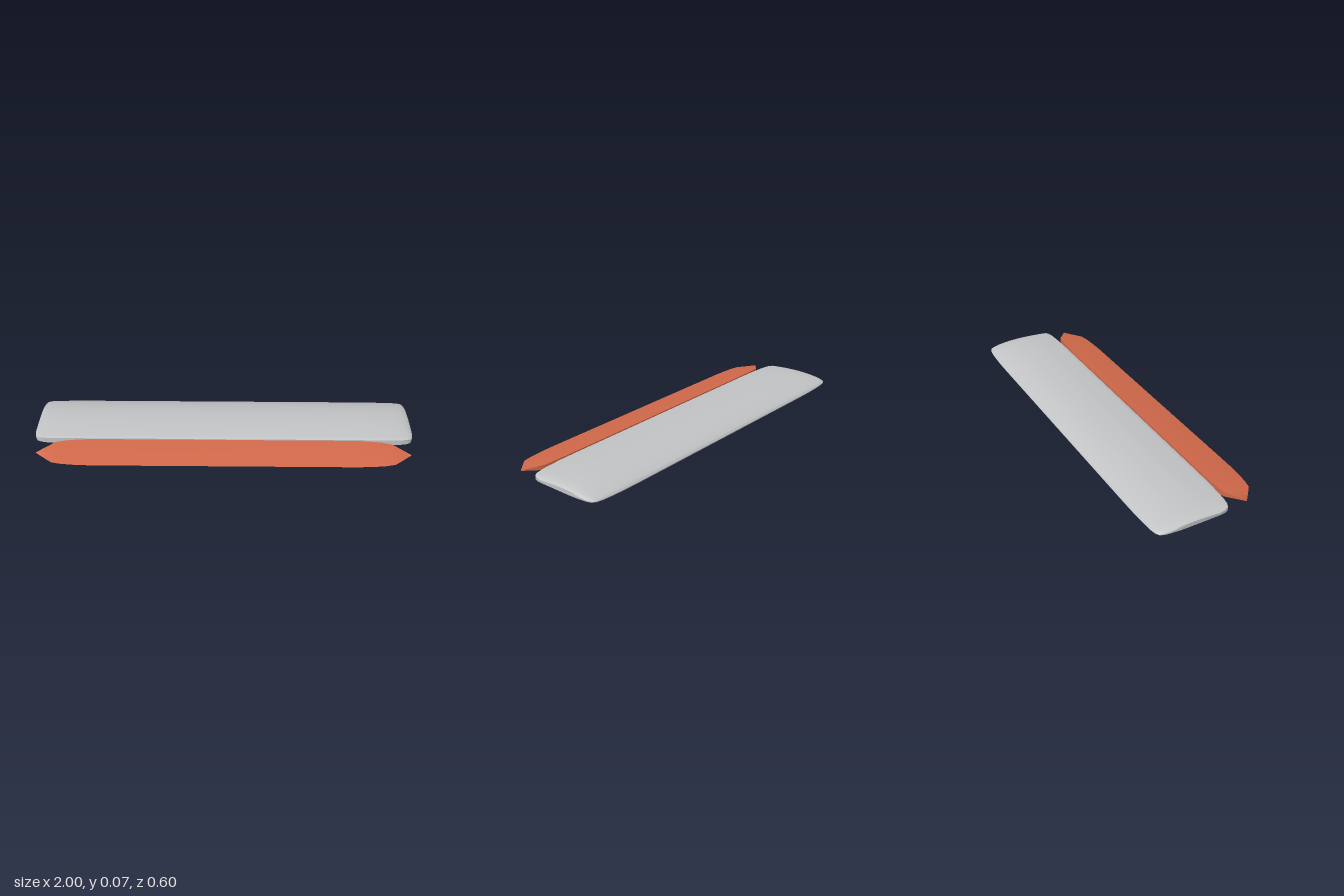
import * as THREE from 'three';
import { toCreasedNormals } from 'three/addons/utils/BufferGeometryUtils.js';

// Smooth open outline through [z, y] points; the loft closes it with the flat spar face
function outline(points, count) {
  const curve = new THREE.CatmullRomCurve3(points.map(([z, y]) => new THREE.Vector3(0, y, z)));
  return curve.getPoints(count).map((p) => [p.z, p.y]);
}

// Sweep a section along x; each station is [x, scaleZ, scaleY] about the pivot [z, y]
function loft(section, pivot, halfStations) {
  const stations = [
    ...halfStations.map(([x, sz, sy]) => [-x, sz, sy]).reverse(),
    ...halfStations,
  ];
  const n = section.length;
  const pos = [];
  const index = [];
  for (const [x, sz, sy] of stations) {
    for (const [z, y] of section) {
      pos.push(x, pivot[1] + (y - pivot[1]) * sy, pivot[0] + (z - pivot[0]) * sz);
    }
  }
  for (let i = 0; i < stations.length - 1; i++) {
    for (let j = 0; j < n; j++) {
      const a = i * n + j;
      const c = i * n + ((j + 1) % n);
      index.push(a, a + n, c, c, a + n, c + n);
    }
  }
  // End caps
  const last = (stations.length - 1) * n;
  const start = pos.length / 3;
  pos.push(stations[0][0], pivot[1], pivot[0]);
  pos.push(stations[stations.length - 1][0], pivot[1], pivot[0]);
  for (let j = 0; j < n; j++) {
    const k = (j + 1) % n;
    index.push(start, j, k, start + 1, last + k, last + j);
  }
  const geometry = new THREE.BufferGeometry();
  geometry.setAttribute('position', new THREE.Float32BufferAttribute(pos, 3));
  geometry.setIndex(index);
  return toCreasedNormals(geometry, 0.75);
}

export function createModel() {
  const group = new THREE.Group();
  group.name = 'wingWithFlap';

  const grey = new THREE.MeshStandardMaterial({ color: 0xc2c4c6 });
  grey.name = 'light grey';
  const orange = new THREE.MeshStandardMaterial({ color: 0xd2694a });
  orange.name = 'burnt orange';

  // Main wing: cambered section, rounded nose at the back, blunt spar face at the front
  const wingSection = outline([
    [0.1, 0.055], [0.05, 0.061], [-0.02, 0.067], [-0.09, 0.068], [-0.16, 0.064],
    [-0.22, 0.054], [-0.27, 0.039], [-0.294, 0.027], [-0.3, 0.019], [-0.292, 0.01],
    [-0.27, 0.005], [-0.2, 0], [-0.1, 0.004], [0, 0.009], [0.1, 0.013],
  ], 48);
  wingSection.push([0.107, 0.016], [0.107, 0.052]);
  const wing = new THREE.Mesh(loft(wingSection, [-0.1, 0.033], [
    [0.7, 1, 1], [0.8, 0.997, 0.97], [0.87, 0.985, 0.92], [0.93, 0.97, 0.82],
    [0.965, 0.945, 0.72], [0.985, 0.9, 0.6], [0.995, 0.8, 0.46], [1, 0.66, 0.34],
  ]), grey);
  wing.name = 'mainWing';
  group.add(wing);

  // Flap: slim wedge with a sharp trailing edge, drawn to a point at both ends
  const flapSection = [
    [0.115, 0.053], [0.16, 0.047], [0.21, 0.039], [0.26, 0.029], [0.3, 0.02],
    [0.26, 0.019], [0.21, 0.017], [0.16, 0.015], [0.115, 0.013],
  ].reverse();
  flapSection.reverse();
  flapSection.reverse(); // runs from the trailing edge side towards the spar and back
  const ring = [
    ...flapSection.slice(4), // trailing edge, then top surface to the spar face
    ...flapSection.slice(0, 4), // bottom surface back to the trailing edge
  ];
  const flap = new THREE.Mesh(loft(ring, [0.203, 0.026], [
    [0.68, 1, 1], [0.76, 0.97, 0.95], [0.83, 0.9, 0.84],
    [0.88, 0.79, 0.68], [0.92, 0.45, 0.42], [0.97, 0.01, 0.08],
  ]), orange);
  flap.name = 'flap';
  group.add(flap);

  return group;
}
